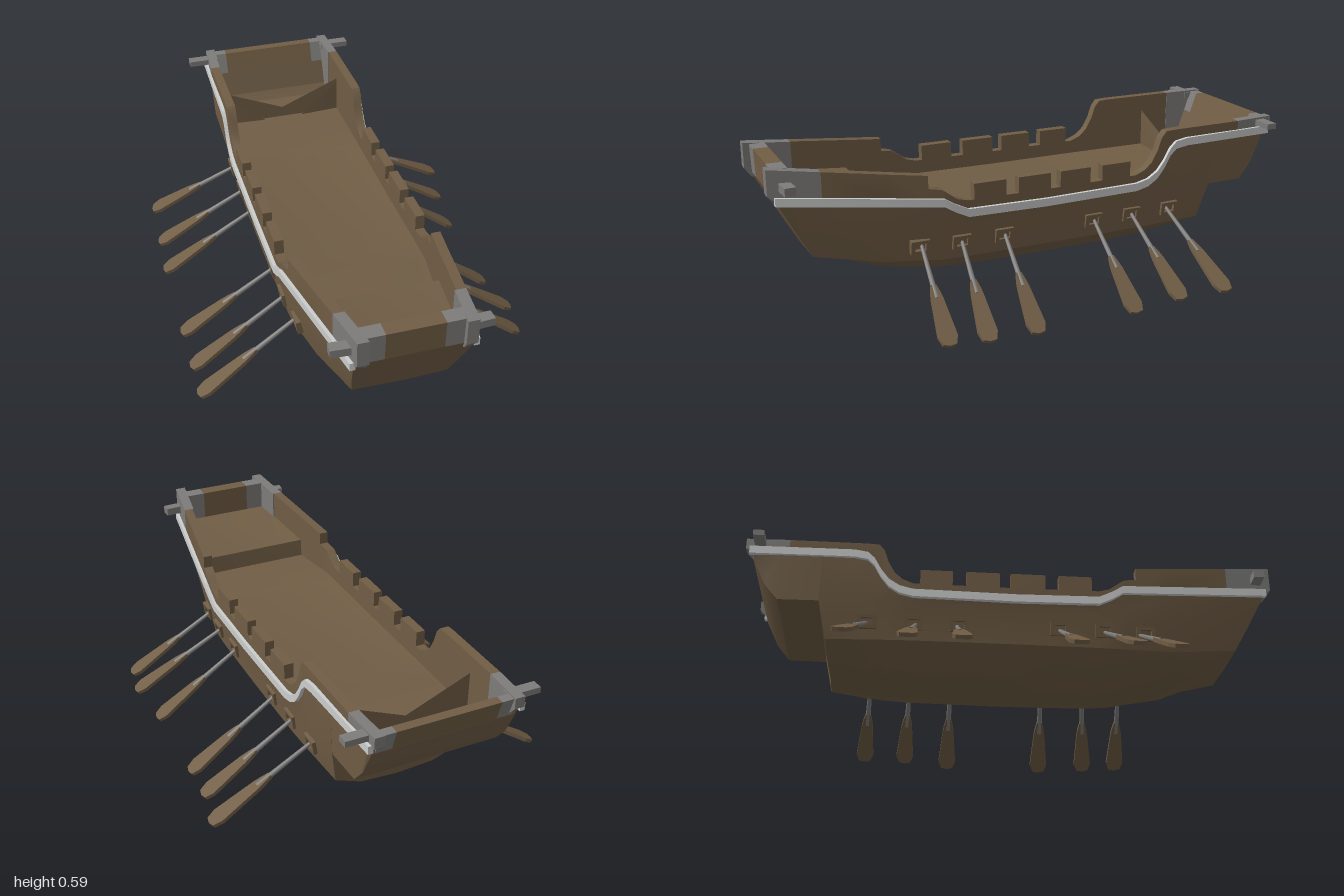
import * as THREE from 'three';
import { toCreasedNormals } from 'three/addons/utils/BufferGeometryUtils.js';

const wood = new THREE.MeshStandardMaterial({ color: 0x705d45 });
wood.name = 'wood';
const iron = new THREE.MeshStandardMaterial({ color: 0x7d7c7a });
iron.name = 'iron';
const trim = new THREE.MeshStandardMaterial({ color: 0xcccdcd });
trim.name = 'paleTrim';

// Half width of the ship along its length
const OUTLINE = [[-1, 0.27], [-0.8, 0.281], [0.4, 0.285], [1, 0.2]];
function halfWidth(z) {
  for (let i = 1; i < OUTLINE.length; i++) {
    const [z0, w0] = OUTLINE[i - 1], [z1, w1] = OUTLINE[i];
    if (z <= z1) return w0 + (w1 - w0) * (z - z0) / (z1 - z0);
  }
  return 0.2;
}

function addMesh(parent, name, geometry, material) {
  const mesh = new THREE.Mesh(geometry, material);
  mesh.name = name;
  parent.add(mesh);
  return mesh;
}

// Closed solid through equal rings of [x, y, z], turned so faces point outward
function loft(rings) {
  const n = rings[0].length, pos = rings.flat(2), tris = [];
  for (let r = 0; r < rings.length - 1; r++) {
    for (let i = 0; i < n; i++) {
      const a = r * n + i, b = r * n + (i + 1) % n;
      tris.push([a, b, a + n], [b, b + n, a + n]);
    }
  }
  [0, rings.length - 1].forEach((r) => {
    const c = pos.length / 3;
    for (let k = 0; k < 3; k++) pos.push(rings[r].reduce((s, p) => s + p[k], 0) / n);
    for (let i = 0; i < n; i++) {
      const a = r * n + i, b = r * n + (i + 1) % n;
      tris.push(r === 0 ? [c, b, a] : [c, a, b]);
    }
  });
  const v = (i) => new THREE.Vector3(pos[i * 3], pos[i * 3 + 1], pos[i * 3 + 2]);
  const volume = tris.reduce((s, [a, b, c]) => s + v(a).dot(v(b).cross(v(c))), 0);
  const geo = new THREE.BufferGeometry();
  geo.setAttribute('position', new THREE.Float32BufferAttribute(pos, 3));
  geo.setIndex(tris.flatMap((t) => (volume < 0 ? [t[0], t[2], t[1]] : t)));
  return toCreasedNormals(geo, 0.4);
}

// Strip along one side; points are [z, bottom, top, inner bottom]
function strip(side, points, outer, inner) {
  return loft(points.map(([z, lo, hi, lowIn = lo]) => {
    const xo = side * (halfWidth(z) + outer), xi = side * (halfWidth(z) + inner);
    return [[xo, lo, z], [xo, hi, z], [xi, hi, z], [xi, lowIn, z]];
  }));
}

// Bar across the ship with a [z, y] section
const crossBar = (section, x0, x1) => loft([x0, x1].map((x) => section.map(([z, y]) => [x, y, z])));

// Full ring from half-section points (rail to keel) plus the deck edge
function hullRing(half, deckY, deckZ) {
  const pts = half.concat(half.filter((p) => p[0] > 0).reverse().map(([x, y, z]) => [-x, y, z]));
  const x = half[0][0] - 0.03;
  return [...pts, [-x, deckY, deckZ], [x, deckY, deckZ]];
}

function buildHull(ship) {
  // [z, sheer height, chine x, chine y, bilge x, bilge y, keel y, deck y]
  const stations = [
    [0.605, 0.448, 0.222, 0.213, 0.14, 0.168, 0.145, 0.44],
    [0.6, 0.448, 0.222, 0.213, 0.14, 0.168, 0.145, 0.37],
    [0.4, 0.427, 0.256, 0.2, 0.15, 0.132, 0.103, 0.37],
    [0.31, 0.378, 0.26, 0.2, 0.152, 0.126, 0.092, 0.37],
    [0, 0.374, 0.262, 0.2, 0.154, 0.122, 0.09, 0.368],
    [-0.38, 0.378, 0.26, 0.2, 0.152, 0.125, 0.093, 0.37],
    [-0.48, 0.425, 0.256, 0.2, 0.15, 0.13, 0.1, 0.37],
    [-0.55, 0.522, 0.252, 0.2, 0.148, 0.136, 0.11, 0.37],
  ];
  const rings = stations.map(([z, sheer, cx, cy, bx, by, ky, deck]) => hullRing(
    [[halfWidth(z), sheer, z], [halfWidth(z) - 0.009, 0.34, z], [cx, cy, z], [bx, by, z], [0, ky, z]], deck, z));
  rings.unshift(hullRing([[0.203, 0.487, 0.975], [0.187, 0.36, 0.908], [0.168, 0.255, 0.85],
    [0.1, 0.253, 0.85], [0, 0.25, 0.85]], 0.487, 0.972));
  rings.push(hullRing([[halfWidth(-0.72), 0.532, -0.72], [0.273, 0.34, -0.72], [0.244, 0.2, -0.69],
    [0.142, 0.155, -0.682], [0, 0.14, -0.675]], 0.37, -0.72));
  addMesh(ship, 'hull', loft(rings), wood);

  // Overhanging stern: [z, bottom, deck]
  const stern = [[-0.72, 0.34, 0.37], [-0.87, 0.34, 0.37], [-0.92, 0.4, 0.43], [-0.968, 0.5, 0.515]];
  addMesh(ship, 'sternOverhang', loft(stern.map(([z, low, deck]) => {
    const w = halfWidth(z);
    return hullRing([[w, 0.532, z], [w - 0.009, low, z]], deck, z);
  })), wood);
}

function buildSide(ship, s) {
  const bulwark = (name, pts, mat, thick = 0.035) => addMesh(ship, name, strip(s, pts, 0, -thick), mat);
  bulwark('bowBulwark', [[0.82, 0.47, 0.577, 0.43], [0.605, 0.448, 0.549, 0.42],
    [0.6, 0.448, 0.548, 0.36], [0.455, 0.432, 0.53, 0.36]], wood);
  bulwark('bowCorner', [[1, 0.505, 0.6], [0.975, 0.487, 0.597, 0.47], [0.82, 0.47, 0.577, 0.43]], iron, 0.04);
  bulwark('midBulwark', [[0.455, 0.432, 0.482], [0.41, 0.428, 0.474], [0.4, 0.427, 0.468], [0.35, 0.4, 0.432],
    [0.31, 0.378, 0.422], [0, 0.374, 0.42], [-0.38, 0.378, 0.422], [-0.42, 0.388, 0.438], [-0.45, 0.402, 0.465],
    [-0.475, 0.42, 0.51], [-0.49, 0.44, 0.555], [-0.51, 0.47, 0.58], [-0.55, 0.522, 0.582],
    [-0.84, 0.532, 0.583]].map((p) => [...p, 0.36]), wood);
  bulwark('sternCorner', [[-0.84, 0.532, 0.583, 0.36], [-0.87, 0.532, 0.584, 0.36], [-0.92, 0.532, 0.584, 0.42],
    [-0.968, 0.532, 0.585, 0.51], [-1, 0.545, 0.585]], iron, 0.037);

  // Merlons along the rail
  [[0.285, 0.16], [0.11, -0.02], [-0.06, -0.185], [-0.235, -0.355]].forEach(([a, b]) =>
    bulwark('merlon', [[a, 0.415, 0.48], [b, 0.415, 0.48]], wood));

  // Pale rubbing strake following the sheer
  const line = [[0.978, 0.487], [0.4, 0.427], [0.36, 0.402], [0.31, 0.378], [0, 0.373], [-0.38, 0.378],
    [-0.43, 0.39], [-0.47, 0.416], [-0.5, 0.455], [-0.525, 0.5], [-0.55, 0.524], [-0.6, 0.532], [-0.985, 0.534]];
  addMesh(ship, 'rubbingStrake', strip(s, line.map(([z, y]) => [z, y - 0.015, y + 0.015]), 0.013, -0.006), trim);

  // Beams sticking out at the corners
  const bowBeam = addMesh(ship, 'bowBeam', new THREE.BoxGeometry(0.11, 0.03, 0.04), iron);
  bowBeam.position.set(s * 0.218, 0.536, 0.94);
  bowBeam.rotation.y = s * 0.06;
  const sternBeam = addMesh(ship, 'sternBeam', new THREE.BoxGeometry(0.12, 0.022, 0.04), iron);
  sternBeam.position.set(s * 0.293, 0.566, -0.947);

  // Oar port frames
  [0.485, 0.33, 0.163, -0.208, -0.373, -0.542].forEach((z) => {
    const frame = new THREE.Group();
    frame.name = 'oarPort';
    for (const k of [-1, 1]) {
      addMesh(frame, 'portRail', new THREE.BoxGeometry(0.024, 0.012, 0.07), wood).position.y = k * 0.02;
      addMesh(frame, 'portPost', new THREE.BoxGeometry(0.024, 0.03, 0.014), wood).position.z = k * 0.028;
    }
    frame.position.set(s * (halfWidth(z) - 0.018), 0.265, z);
    frame.rotation.z = -s * 0.15;
    ship.add(frame);
  });
}

function buildEnds(ship) {
  const bow = [[0.92, 0.46], [0.92, 0.592], [0.976, 0.592], [0.972, 0.487], [0.955, 0.46]];
  const sternLow = [[-0.885, 0.365], [-0.93, 0.5], [-0.967, 0.5], [-0.915, 0.4]];
  const sternTop = [[-0.93, 0.5], [-0.957, 0.58], [-0.992, 0.58], [-0.967, 0.5]];
  addMesh(ship, 'bowPanel', crossBar(bow, -0.1, 0.1), wood);
  addMesh(ship, 'sternWall', crossBar(sternLow, -0.25, 0.25), wood);
  addMesh(ship, 'sternRail', crossBar(sternTop, -0.19, 0.19), wood);
  for (const s of [-1, 1]) {
    addMesh(ship, 'bowPlate', crossBar(bow, s * 0.1, s * 0.175), iron);
    addMesh(ship, 'sternPlate', crossBar(sternTop, s * 0.19, s * 0.25), iron);
  }
}

// Oar from its port to the tip of its blade
function buildOar(start, tip) {
  const oar = new THREE.Group();
  oar.name = 'oar';
  const d = tip.clone().sub(start), L = d.length();
  d.normalize();
  const w = new THREE.Vector3(0, 0, 1).addScaledVector(d, -d.z).normalize();
  oar.matrixAutoUpdate = true;
  oar.quaternion.setFromRotationMatrix(new THREE.Matrix4().makeBasis(d, w.clone().cross(d), w));
  oar.position.copy(start);
  const shaft = addMesh(oar, 'oarShaft', new THREE.CylinderGeometry(0.011, 0.007, L * 0.55, 6), iron);
  shaft.rotation.z = -Math.PI / 2;
  shaft.position.x = L * 0.275;
  const half = [[L * 0.42, 0.01], [L * 0.5, 0.018], [L * 0.56, 0.022], [L * 0.92, 0.035], [L, 0.024]];
  const outline = [...half, [L + 0.006, 0], ...half.map(([x, y]) => [x, -y]).reverse()];
  const shape = new THREE.Shape(outline.map(([x, y]) => new THREE.Vector2(x, y)));
  const blade = new THREE.ExtrudeGeometry(shape, { depth: 0.014, bevelEnabled: false });
  blade.translate(0, 0, -0.007).rotateX(Math.PI / 2);
  addMesh(oar, 'oarBlade', blade, wood);
  return oar;
}

export function createModel() {
  const model = new THREE.Group();
  model.name = 'rowingShip';
  const ship = new THREE.Group();
  ship.name = 'shipBody';
  ship.position.x = -0.012;
  model.add(ship);
  buildHull(ship);
  buildEnds(ship);
  buildSide(ship, 1);
  buildSide(ship, -1);

  // Oars: [port x, port z, tip x, tip y, tip z]
  [
    [0.235, 0.475, 0.585, 0.035, 0.51], [0.245, 0.325, 0.61, 0.035, 0.375], [0.245, 0.155, 0.585, 0.015, 0.18],
    [0.245, -0.215, 0.59, 0.02, -0.21], [0.245, -0.378, 0.605, 0.045, -0.39], [0.245, -0.535, 0.64, 0.06, -0.56],
    [-0.26, 0.46, -0.64, 0.045, 0.52], [-0.27, 0.33, -0.64, 0.05, 0.38], [-0.27, 0.163, -0.64, 0.045, 0.182],
    [-0.27, -0.215, -0.64, 0.045, -0.21], [-0.27, -0.365, -0.63, 0.05, -0.395], [-0.27, -0.545, -0.62, 0.065, -0.615],
  ].forEach(([x, z, tx, ty, tz]) =>
    model.add(buildOar(new THREE.Vector3(x, 0.265, z), new THREE.Vector3(tx, ty, tz))));
  return model;
}
